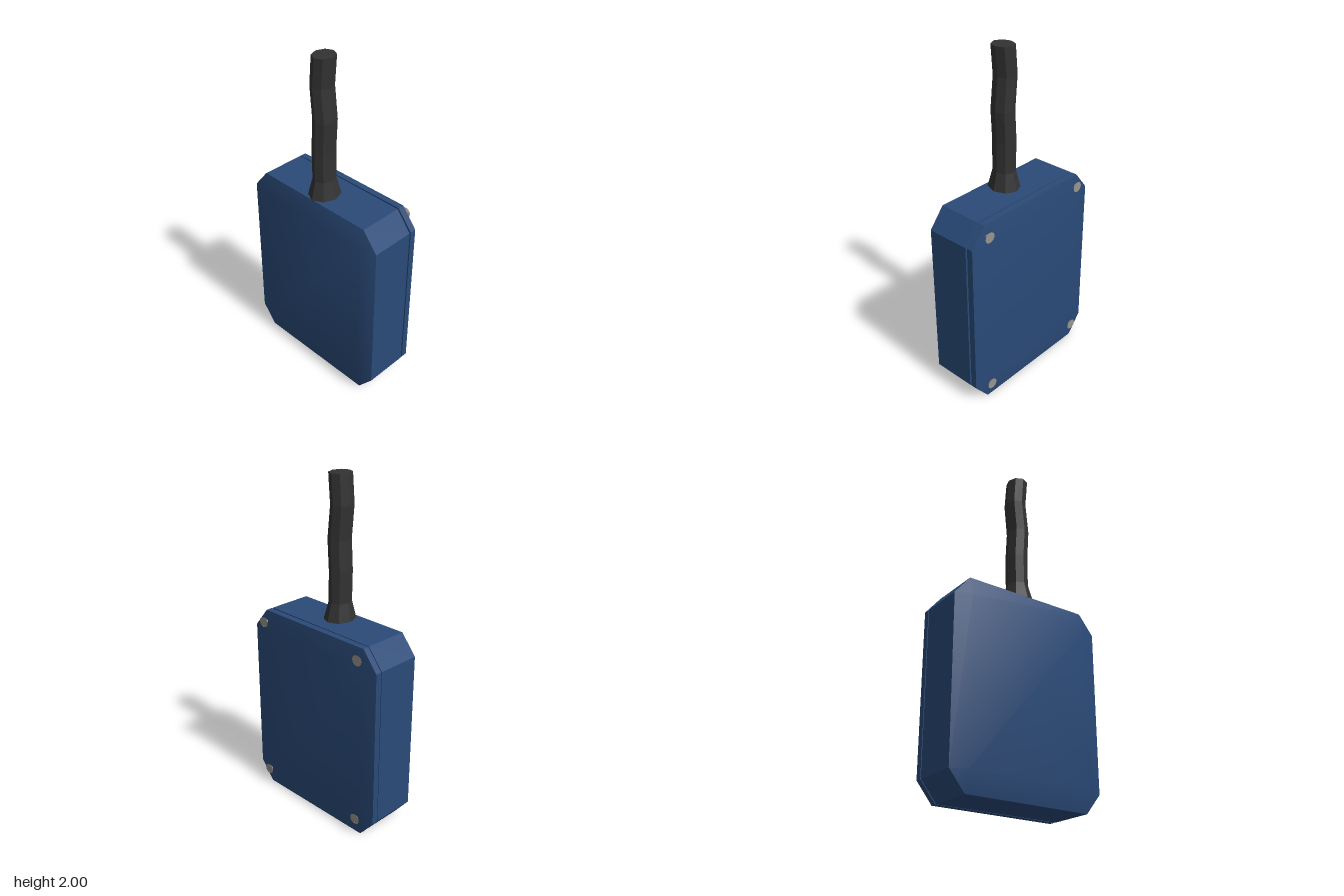
import * as THREE from 'three';
import { ConvexGeometry } from 'three/addons/geometries/ConvexGeometry.js';
import { toCreasedNormals } from 'three/addons/utils/BufferGeometryUtils.js';

const blue = new THREE.MeshStandardMaterial({ color: 0x2a4a78 });
const rubber = new THREE.MeshStandardMaterial({ color: 0x333333, flatShading: true });
const steel = new THREE.MeshStandardMaterial({ color: 0x9a958c, side: THREE.DoubleSide });

const HEIGHT = 1.175, HALF_DEPTH = 0.477, INNER_Z = 0.383, CUT_Y = 0.115;

// Box half: clipped-corner outline from seamX to rimX, tapering to a rectangle at faceX
function shell(name, seamX, rimX, faceX) {
  const points = [];
  for (const sy of [-1, 1]) {
    for (const sz of [-1, 1]) {
      const edgeY = HEIGHT / 2 * (1 + sy), innerY = edgeY - sy * CUT_Y;
      for (const x of [seamX, rimX]) {
        points.push(new THREE.Vector3(x, edgeY, sz * INNER_Z));
        points.push(new THREE.Vector3(x, innerY, sz * HALF_DEPTH));
      }
      points.push(new THREE.Vector3(faceX, innerY, sz * INNER_Z));
    }
  }
  const mesh = new THREE.Mesh(toCreasedNormals(new ConvexGeometry(points), Math.PI / 6), blue);
  mesh.name = name;
  return mesh;
}

// Cable: eight-sided tube, flared at the foot and gently wavy in z
function cable() {
  const rings = [ // y, z offset, x radius, z radius
    [1.17, 0, 0.1, 0.087],
    [1.28, -0.002, 0.071, 0.06],
    [1.46, -0.005, 0.071, 0.061],
    [1.64, 0.005, 0.071, 0.061],
    [1.83, -0.014, 0.071, 0.059],
    [2.0, 0, 0.069, 0.061],
  ];
  const n = rings.length - 1;
  const geometry = new THREE.CylinderGeometry(1, 1, n, 8, n);
  const pos = geometry.attributes.position;
  for (let i = 0; i < pos.count; i++) {
    const [y, z, rx, rz] = rings[Math.round(pos.getY(i) + n / 2)];
    pos.setXYZ(i, -0.062 + rx * pos.getX(i), y, z + rz * pos.getZ(i));
  }
  geometry.computeVertexNormals();
  const mesh = new THREE.Mesh(geometry, rubber);
  mesh.name = 'cable';
  return mesh;
}

// Countersunk screw: shaft and cone, topped by two half discs with a slot between
function screw() {
  const group = new THREE.Group();
  group.name = 'screw';
  const profile = [[0, -0.085], [0.009, -0.085], [0.009, -0.021], [0.028, -0.005], [0, -0.005]]
    .map(([r, y]) => new THREE.Vector2(r, y));
  const body = new THREE.Mesh(toCreasedNormals(new THREE.LatheGeometry(profile, 16), 0.6), steel);
  body.name = 'screwShaft';
  group.add(body);
  for (const side of [1, -1]) {
    const half = new THREE.Mesh(
      new THREE.CylinderGeometry(0.031, 0.027, 0.005, 8, 1, false, -side * Math.PI / 2, Math.PI), steel);
    half.position.set(0, -0.0025, side * 0.002);
    half.name = 'screwHeadHalf';
    group.add(half);
  }
  group.rotation.z = -Math.PI / 2;
  return group;
}

export function createModel() {
  const model = new THREE.Group();
  model.name = 'cableBox';
  model.add(shell('housing', 0.108, -0.157, -0.19));

  // Lid sits a hair off parallel, leaving a narrow seam
  const lid = shell('lid', 0.1155, 0.153, 0.1675);
  lid.rotation.y = 0.006;
  model.add(lid, cable());

  // One screw at each lid corner
  for (const y of [0.105, 1.11]) {
    for (const [x, z] of [[0.179, -0.363], [0.188, 0.374]]) {
      const s = screw();
      s.position.set(x, y, z);
      model.add(s);
    }
  }
  return model;
}
